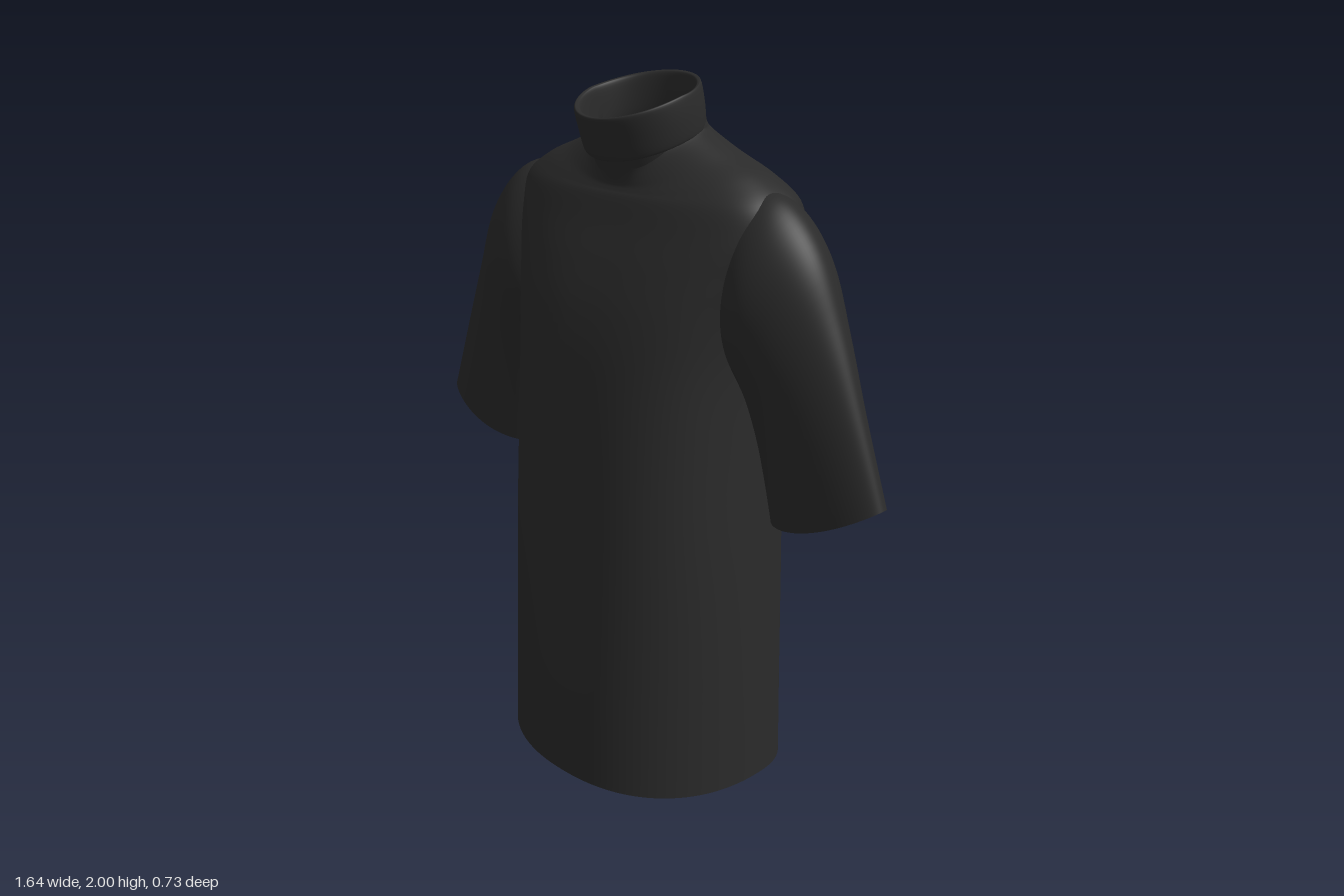
import * as THREE from 'three';

const fabric = new THREE.MeshStandardMaterial({ color: 0x2a2a2a, roughness: 0.9, side: THREE.DoubleSide });

// Smooth (Catmull-Rom) value of a table of ring rows at v in 0..1
function sample(rows, v) {
  const f = v * (rows.length - 1);
  const i = Math.min(Math.floor(f), rows.length - 2), t = f - i;
  const row = k => rows[Math.max(0, Math.min(rows.length - 1, k))];
  const [a, b, c, d] = [row(i - 1), row(i), row(i + 1), row(i + 2)];
  return b.map((p, k) => p + 0.5 * t * (c[k] - a[k] + t * (2 * a[k] - 5 * p + 4 * c[k] - d[k]
    + t * (3 * (p - c[k]) + d[k] - a[k]))));
}

// Open tube through rings; point(row, angle) gives a position on a ring
function loft(name, rows, point, around = 96, steps = 6) {
  const along = (rows.length - 1) * steps, pos = [], index = [];
  for (let i = 0; i <= along; i++) {
    const row = sample(rows, i / along);
    for (let j = 0; j < around; j++) pos.push(...point(row, (j / around) * Math.PI * 2));
  }
  for (let i = 0; i < along; i++) {
    for (let j = 0; j < around; j++) {
      const a = i * around + j, b = i * around + (j + 1) % around;
      index.push(a, a + around, b, b, a + around, b + around);
    }
  }
  const g = new THREE.BufferGeometry();
  g.setAttribute('position', new THREE.Float32BufferAttribute(pos, 3));
  g.setIndex(index);
  g.computeVertexNormals();
  const mesh = new THREE.Mesh(g, fabric);
  mesh.name = name;
  return mesh;
}

const power = (c, e) => Math.sign(c) * Math.abs(c) ** e;

// Body rings, hem to neck: half width, front z, back z, front y, side y, back y, squareness, back fold depth
const bodyRings = [
  [0.435, 0.365, -0.32, 0.045, 0.03, 0.0, 2.2, 0],
  [0.425, 0.356, -0.323, 0.33, 0.33, 0.33, 2.2, 0.01],
  [0.41, 0.338, -0.323, 0.7, 0.7, 0.7, 2.3, 0.03],
  [0.393, 0.317, -0.32, 1.03, 1.03, 1.03, 2.4, 0.055],
  [0.387, 0.287, -0.312, 1.25, 1.25, 1.25, 2.6, 0.072],
  [0.4, 0.25, -0.305, 1.4, 1.4, 1.4, 2.8, 0.065],
  [0.43, 0.205, -0.293, 1.52, 1.52, 1.52, 2.8, 0.045],
  [0.46, 0.16, -0.272, 1.62, 1.62, 1.62, 2.7, 0.02],
  [0.455, 0.13, -0.25, 1.69, 1.7, 1.7, 2.5, 0],
  [0.375, 0.118, -0.222, 1.71, 1.763, 1.76, 2.3, 0],
  [0.27, 0.112, -0.2, 1.725, 1.808, 1.815, 2.1, 0],
  [0.172, 0.115, -0.184, 1.745, 1.855, 1.86, 2, 0],
  [0.158, 0.13, -0.163, 1.79, 1.873, 1.888, 2, 0],
  [0.155, 0.138, -0.152, 1.83, 1.89, 1.925, 2, 0],
];
function bodyPoint([w, zf, zb, yf, ys, yb, n, fold], t) {
  const c = Math.cos(t), s = Math.sin(t), zc = -0.05;
  const x = w * power(c, 2 / n), p = power(s, 2 / n);
  // slight drape to one side in front, two soft vertical folds behind
  const z = s > 0 ? zc + (zf - zc) * p * (1 + 0.2 * w * c)
    : zc + (zc - zb) * p - fold * s * s * Math.exp(-(((Math.abs(x) - 0.19) / 0.08) ** 2));
  return [x, ys + ((s > 0 ? yf : yb) - ys) * s * s, z];
}

// Folded collar rings, outside then inside: half width, front z, back z, front y, side y, back y
const collarRings = [
  [0.156, 0.136, -0.155, 1.805, 1.862, 1.905],
  [0.169, 0.148, -0.166, 1.79, 1.848, 1.895],
  [0.172, 0.17, -0.161, 1.845, 1.9, 1.945],
  [0.168, 0.189, -0.152, 1.895, 1.952, 1.993],
  [0.161, 0.182, -0.143, 1.904, 1.96, 2.0],
  [0.153, 0.165, -0.133, 1.89, 1.945, 1.985],
  [0.15, 0.132, -0.13, 1.8, 1.87, 1.9],
  [0.152, 0.112, -0.14, 1.745, 1.84, 1.85],
];
function collarPoint([w, zf, zb, yf, ys, yb], t) {
  const s = Math.sin(t), zc = (zf + zb) / 2;
  return [w * Math.cos(t), ys + ((s > 0 ? yf : yb) - ys) * Math.abs(s) ** 1.15, zc + (zf - zc) * s];
}

// Sleeve rings from cuff to shoulder: outer x, y, inner x, y, front z, back z, sag
const sleeveRings = [
  [0.82, 0.98, 0.44, 0.845, 0.058, -0.142, 0.028],
  [0.738, 1.21, 0.424, 0.95, 0.07, -0.16, 0.02],
  [0.66, 1.42, 0.408, 1.05, 0.088, -0.192, 0.01],
  [0.58, 1.6, 0.392, 1.14, 0.115, -0.225, 0],
  [0.475, 1.712, 0.37, 1.2, 0.13, -0.25, 0],
  [0.37, 1.735, 0.335, 1.24, 0.105, -0.235, 0],
  [0.25, 1.7, 0.26, 1.3, 0.04, -0.17, 0],
];
function sleevePoint([ox, oy, ix, iy, zf, zb, sag], t, side) {
  const c = Math.cos(t * side), s = Math.sin(t * side);
  // fuller towards the armpit, outer edge set forward
  return [side * ((ox + ix) / 2 + (ox - ix) / 2 * c), (oy + iy) / 2 + (oy - iy) / 2 * c - sag * s * s,
    (zf + zb) / 2 + (zf - zb) / 2 * s * (1 - 0.2 * c) + 0.03 * c];
}

export function createModel() {
  const shirt = new THREE.Group();
  shirt.name = 'shirt';
  shirt.add(loft('body', bodyRings, bodyPoint, 128));
  shirt.add(loft('foldedCollar', collarRings, collarPoint));
  for (const side of [1, -1]) {
    shirt.add(loft(side > 0 ? 'leftSleeve' : 'rightSleeve', sleeveRings, (r, t) => sleevePoint(r, t, side)));
  }
  return shirt;
}
